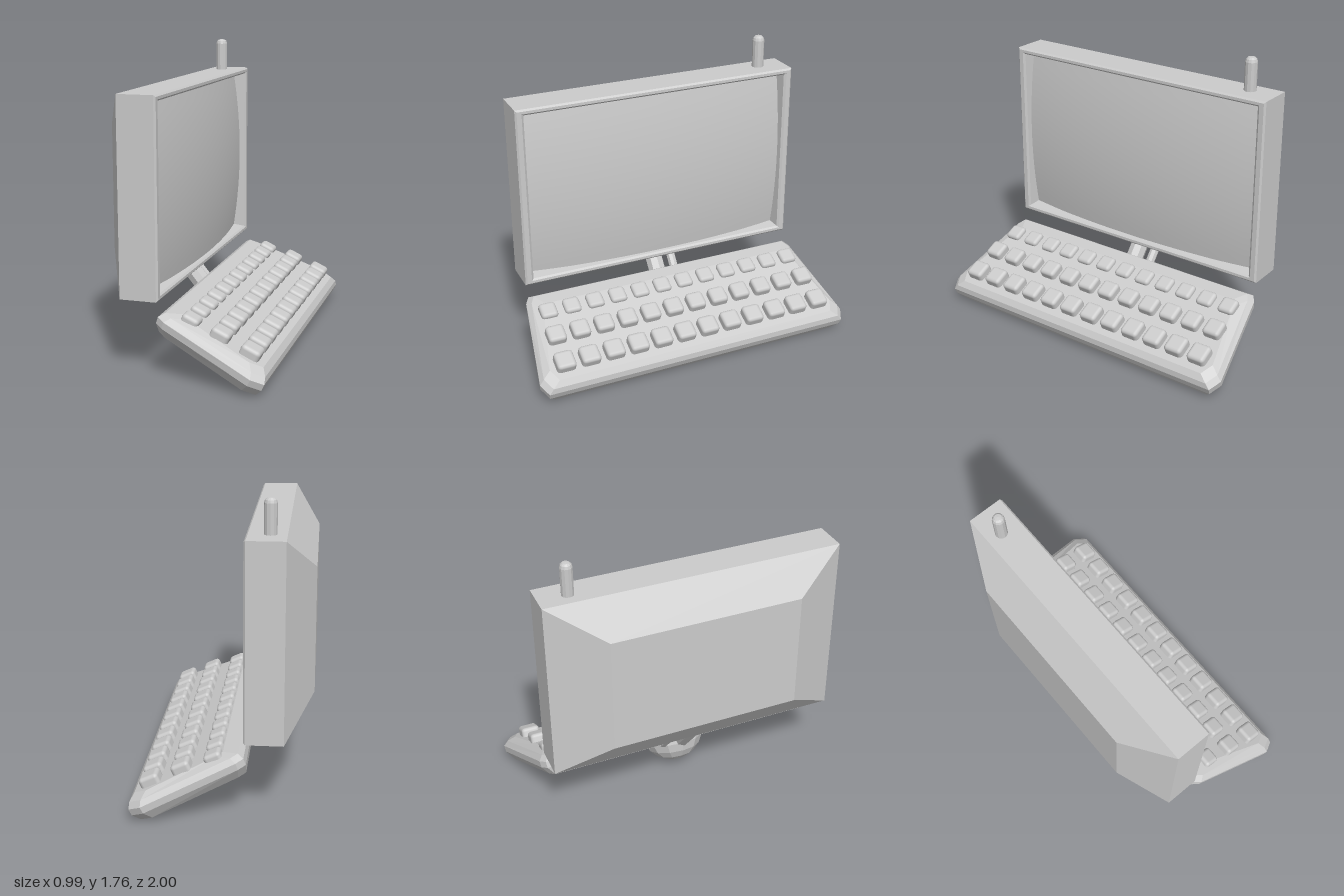
import * as THREE from 'three';
import { RoundedBoxGeometry } from 'three/addons/geometries/RoundedBoxGeometry.js';

const smooth = new THREE.MeshStandardMaterial({ color: 0xcccccc });
const flat = new THREE.MeshStandardMaterial({ color: 0xcccccc, flatShading: true });

function add(parent, name, geometry, material) {
  const mesh = new THREE.Mesh(geometry, material);
  mesh.name = name;
  parent.add(mesh);
  return mesh;
}

// Skin a stack of equal-length rings and cap both ends
function loft(rings) {
  const out = [];
  const tri = (a, b, c) => out.push(...a, ...b, ...c);
  const n = rings[0].length;
  for (let k = 0; k + 1 < rings.length; k++) {
    for (let i = 0; i < n; i++) {
      const j = (i + 1) % n;
      const [a, b, c, d] = [rings[k][i], rings[k][j], rings[k + 1][j], rings[k + 1][i]];
      tri(a, b, c);
      tri(a, c, d);
    }
  }
  const first = rings[0], last = rings[rings.length - 1];
  for (let i = 1; i + 1 < n; i++) {
    tri(first[0], first[i + 1], first[i]);
    tri(last[0], last[i], last[i + 1]);
  }
  const geometry = new THREE.BufferGeometry();
  geometry.setAttribute('position', new THREE.Float32BufferAttribute(out, 3));
  geometry.computeVertexNormals();
  return geometry;
}

function createMonitor() {
  const monitor = new THREE.Group();
  monitor.name = 'monitor';
  const midY = 1.007;

  // Housing: tapered back, box body, rounded lip, recess for the screen
  const sections = [ // x, half height, half width
    [-0.5, 0.355, 0.572], [-0.345, 0.558, 0.886], [-0.135, 0.558, 0.886],
    [-0.125, 0.548, 0.876], [-0.125, 0.532, 0.848], [-0.135, 0.522, 0.835], [-0.23, 0.505, 0.818],
  ];
  add(monitor, 'housing', loft(sections.map(([x, h, w]) => [
    [x, midY - h, w], [x, midY - h, -w], [x, midY + h, -w], [x, midY + h, w],
  ])), flat);

  // Bulging screen
  const screen = new THREE.PlaneGeometry(1.66, 1.03, 24, 16).rotateY(Math.PI / 2);
  const p = screen.attributes.position;
  for (let i = 0; i < p.count; i++) {
    const y = p.getY(i), z = p.getZ(i);
    p.setX(i, -0.105 - 0.043 * (y / 0.53) ** 2 - 0.058 * (z / 0.82) ** 2);
  }
  screen.computeVertexNormals();
  add(monitor, 'screen', screen, smooth).position.y = midY;

  // Antenna with a rounded tip
  const profile = [[0.036, 0], [0.036, 0.17], [0.031, 0.186], [0.02, 0.196], [0, 0.198]];
  const antenna = add(monitor, 'antenna',
    new THREE.LatheGeometry(profile.map(([r, y]) => new THREE.Vector2(r, y)), 12), flat);
  antenna.position.set(-0.255, 1.562, -0.715);
  return monitor;
}

function createKeyboard() {
  const keyboard = new THREE.Group();
  keyboard.name = 'keyboard';
  keyboard.rotation.z = -Math.atan(0.46);

  // Case: wider at the front, bevelled above and below
  const levels = [ // height, back, front, side inset
    [0.182, -0.238, 0.39, 0.05], [0.24, -0.266, 0.41, 0.005], [0.28, -0.27, 0.41, 0],
    [0.31, -0.248, 0.395, 0.025], [0.334, -0.165, 0.36, 0.07],
  ];
  add(keyboard, 'case', loft(levels.map(([y, back, front, inset]) => {
    const half = [
      [back, 0.878 - inset], [back + 0.045, 0.905 - inset],
      [front - 0.075, 1 - inset], [front, 0.965 - inset],
    ];
    const mirrored = half.slice().reverse().map(([x, z]) => [x, -z]);
    return [...half, ...mirrored].map(([x, z]) => [x, y, z]);
  })), flat);

  // Three rows of twelve keys
  const rows = [ // along slope, top height, half span, size
    [-0.107, 0.362, 0.81, 0.103], [0.075, 0.385, 0.825, 0.11], [0.262, 0.388, 0.835, 0.115],
  ];
  rows.forEach(([x, top, span, size]) => {
    const keyGeometry = new RoundedBoxGeometry(size, 0.08, size, 2, 0.022);
    for (let i = 0; i < 12; i++) {
      const key = add(keyboard, 'key', keyGeometry, smooth);
      key.position.set(x, top - 0.04, -span + (2 * span * i) / 11);
    }
  });
  return keyboard;
}

function createStand() {
  const stand = new THREE.Group();
  stand.name = 'stand';

  // Faceted dome foot under the keyboard
  const foot = add(stand, 'domeFoot',
    new THREE.SphereGeometry(0.2, 12, 5, 0, Math.PI * 2, Math.PI / 2, Math.PI / 2), flat);
  foot.position.set(0.037, 0.23, 0);
  foot.rotation.z = -Math.atan(0.46);

  // Thick and thin slanted struts up to the monitor
  const top = new THREE.Vector3(-0.282, 0.465, 0);
  const end = new THREE.Vector3(-0.07, 0.205, 0);
  const axis = top.clone().sub(end);
  [['mainStrut', 0.055, 0.008], ['thinStrut', 0.028, -0.108]].forEach(([name, radius, z]) => {
    const strut = add(stand, name, new THREE.CylinderGeometry(radius, radius, axis.length(), 8), flat);
    strut.position.copy(top).add(end).multiplyScalar(0.5).setZ(z);
    strut.quaternion.setFromUnitVectors(new THREE.Vector3(0, 1, 0), axis.clone().normalize());
  });
  return stand;
}

export function createModel() {
  const model = new THREE.Group();
  model.name = 'computerTerminal';
  model.add(createMonitor(), createKeyboard(), createStand());
  return model;
}
